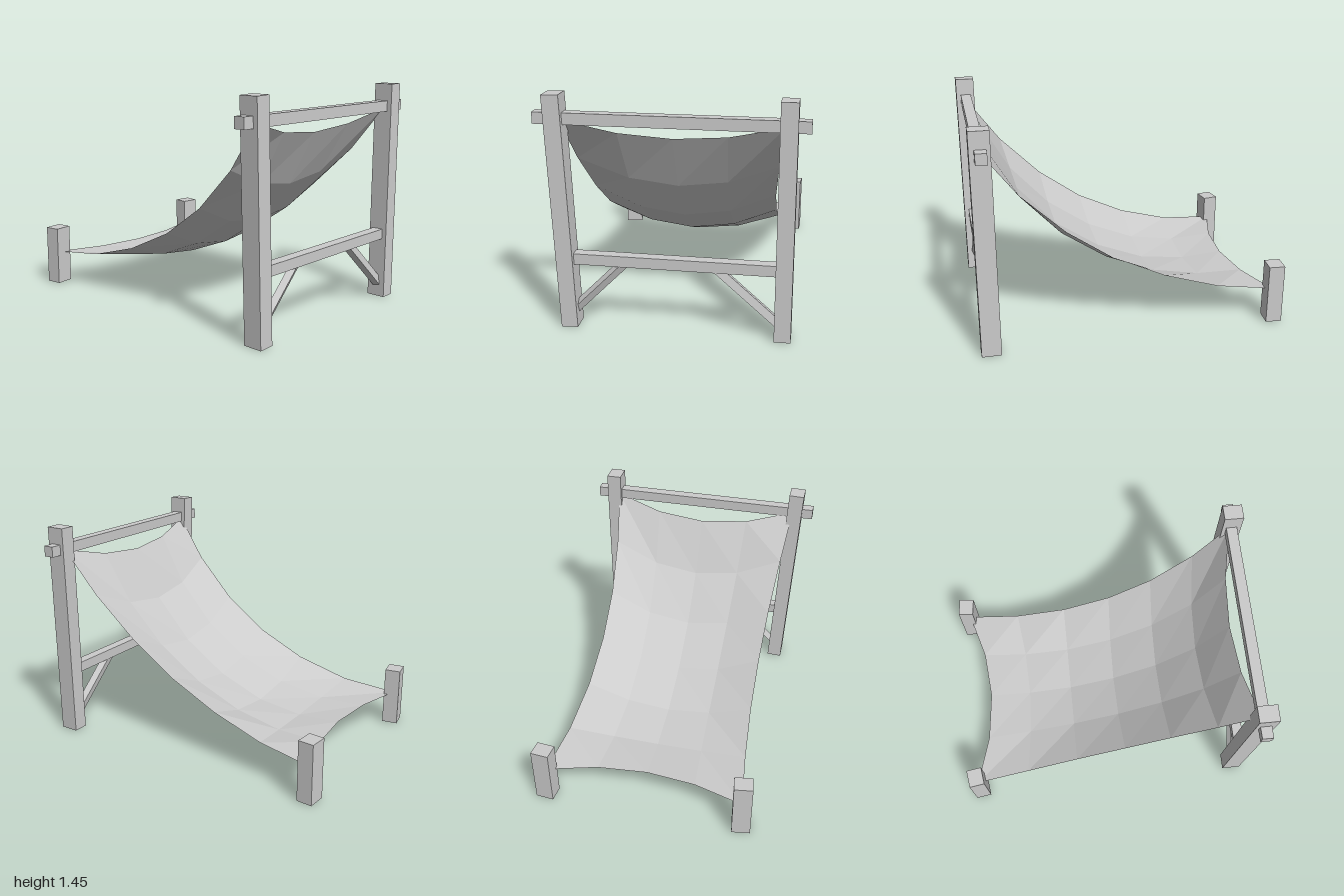
import * as THREE from 'three';

const wood = new THREE.MeshStandardMaterial({ color: 0xcccccc, flatShading: true, side: THREE.DoubleSide });
const cloth = new THREE.MeshStandardMaterial({ color: 0xcccccc, flatShading: true, side: THREE.DoubleSide });

function addMesh(group, name, geometry, x, y, z, material = wood) {
  const mesh = new THREE.Mesh(geometry, material);
  mesh.name = name;
  mesh.position.set(x, y, z);
  group.add(mesh);
  return mesh;
}

// Square post standing on y = 0, open underneath
function postGeometry(width, height, depth) {
  const geo = new THREE.BoxGeometry(width, height, depth);
  const index = Array.from(geo.index.array);
  index.splice(18, 6); // drop the bottom face
  geo.setIndex(index);
  geo.clearGroups();
  return geo.translate(0, height / 2, 0);
}

// Diagonal strut between two points, running left to right, rolled about its length
function addBrace(group, name, [x0, y0], [x1, y1], size, roll) {
  const length = Math.hypot(x1 - x0, y1 - y0);
  const geo = new THREE.BoxGeometry(length, size, size).rotateX(roll);
  const brace = addMesh(group, name, geo, (x0 + x1) / 2, (y0 + y1) / 2, 0.935);
  brace.rotation.z = Math.atan2(y1 - y0, x1 - x0);
}

// Sagging sheet: each row is a parabola from a low centre up to its outer edges
function sheetGeometry() {
  // edge x, edge y, edge z, centre y, centre z (back to front)
  const rows = [
    [0.655, 0.215, -0.94, 0.21, -0.81],
    [0.612, 0.255, -0.57, 0.19, -0.52],
    [0.585, 0.36, -0.21, 0.23, -0.21],
    [0.578, 0.52, 0.13, 0.355, 0.11],
    [0.588, 0.73, 0.43, 0.555, 0.41],
    [0.617, 1.0, 0.71, 0.835, 0.665],
    [0.655, 1.29, 0.93, 1.18, 0.85],
  ];
  const geo = new THREE.PlaneGeometry(2, 2, 4, rows.length - 1);
  const pos = geo.attributes.position;
  for (let i = 0; i < pos.count; i++) {
    // plane rows run top first, so the first row is the back edge with the face pointing down
    const [ex, ey, ez, cy, cz] = rows[rows.length - 1 - Math.floor(i / 5)];
    const u = pos.getX(i);
    pos.setXYZ(i, u * ex, cy + u * u * (ey - cy), cz + u * u * (ez - cz));
  }
  // turn the faces upward
  const index = geo.index.array;
  for (let i = 0; i < index.length; i += 3) {
    [index[i + 1], index[i + 2]] = [index[i + 2], index[i + 1]];
  }
  geo.computeVertexNormals();
  return geo;
}

export function createModel() {
  const model = new THREE.Group();
  model.name = 'slungSheetFrame';

  // Tall front posts, the right one leaning slightly outward
  addMesh(model, 'frontPostLeft', postGeometry(0.1, 1.45, 0.125), 0.677, 0, 0.9375);
  const leaning = addMesh(model, 'frontPostRight', postGeometry(0.103, 1.45, 0.125), -0.623, 0, 0.9375);
  leaning.rotation.z = 0.038;

  // Short back posts, each turned a little
  for (const [name, x, z, turn] of [
    ['backPostLeft', 0.658, -0.945, -0.09],
    ['backPostRight', -0.655, -0.934, 0.15],
  ]) {
    addMesh(model, name, postGeometry(0.12, 0.4, 0.104), x, 0, z).rotation.y = turn;
  }

  // Rails between the front posts
  addMesh(model, 'topRail', new THREE.BoxGeometry(1.6, 0.07, 0.07), 0, 1.305, 0.935);
  addMesh(model, 'lowerRail', new THREE.BoxGeometry(1.27, 0.068, 0.07), 0.02, 0.44, 0.935);

  // Corner braces below the lower rail
  addBrace(model, 'braceLeft', [0.265, 0.43], [0.655, 0.085], 0.05, -0.2);
  addBrace(model, 'braceRight', [-0.615, 0.085], [-0.275, 0.43], 0.045, 0.5);

  addMesh(model, 'hangingSheet', sheetGeometry(), 0, 0, 0, cloth);
  return model;
}
